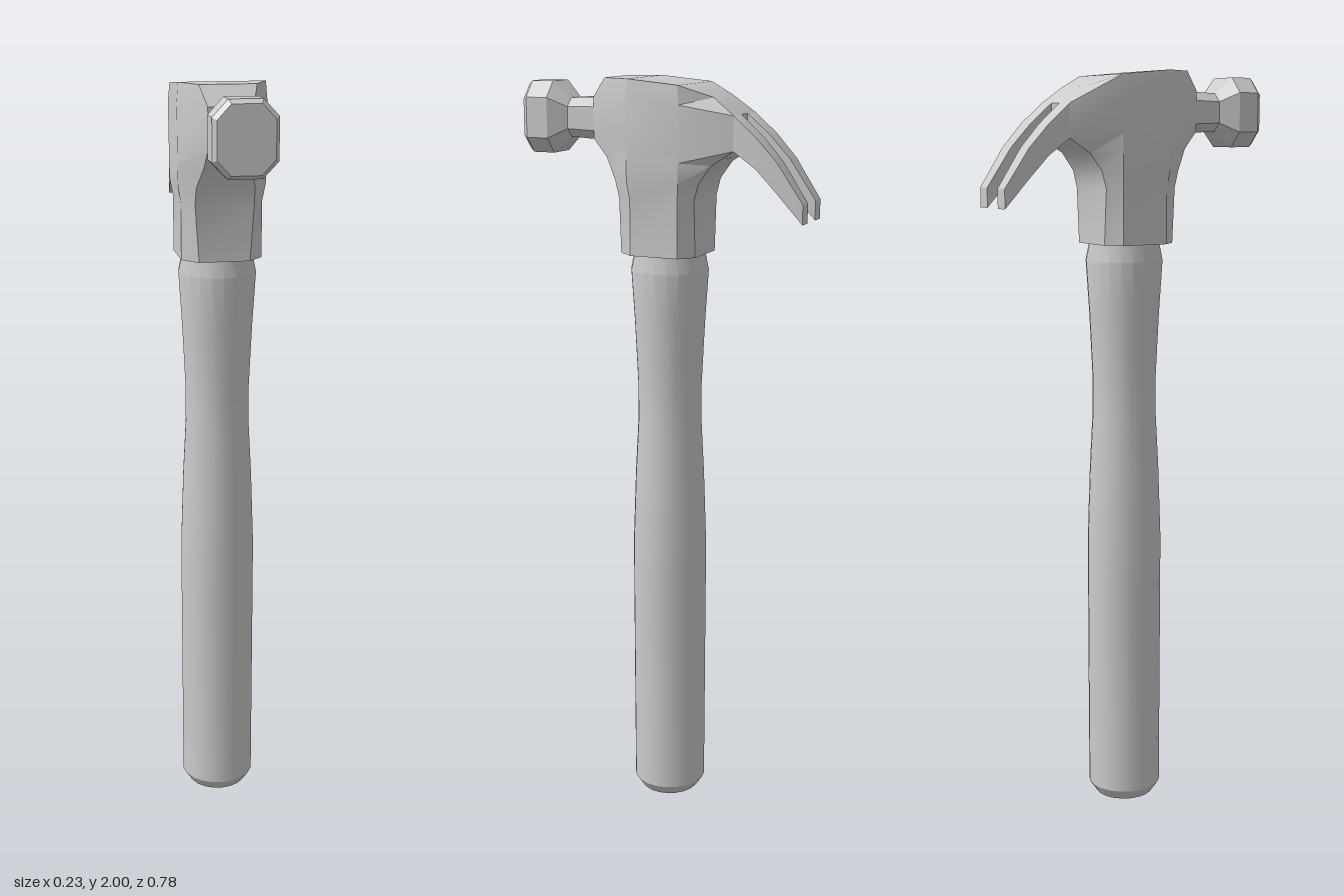
import * as THREE from 'three';
import { toCreasedNormals } from 'three/addons/utils/BufferGeometryUtils.js';

const steel = new THREE.MeshStandardMaterial({ color: 0xcccccc });

// Closed solid through equal-length, counter-clockwise rings of [x, y, z]
function loft(rings, crease) {
  const n = rings[0].length, last = (rings.length - 1) * n, index = [];
  const quad = (a, b, c, d) => index.push(a, b, c, a, c, d);
  for (let r = 0; r < last; r += n) {
    for (let i = 0; i < n; i++) {
      const j = (i + 1) % n;
      quad(r + i, r + j, r + n + j, r + n + i);
    }
  }
  // Caps are strips of quads between mirrored corners
  for (let i = 0; i < n / 2 - 1; i++) {
    quad(n - 1 - i, n - 2 - i, i + 1, i);
    quad(last + i, last + i + 1, last + n - 2 - i, last + n - 1 - i);
  }
  const g = new THREE.BufferGeometry();
  g.setAttribute('position', new THREE.Float32BufferAttribute(rings.flat(2), 3));
  g.setIndex(index);
  return toCreasedNormals(g, crease);
}

function part(name, geometry) {
  const m = new THREE.Mesh(geometry, steel);
  m.name = name;
  return m;
}

// Body ring: front height/depth/half width, back height/depth/half width, side half width
function bodyRing([yf, zf, fw, yb, zb, bw, w]) {
  const s = w * 0.63;
  const yBack = yf * 0.7 + yb * 0.3;
  const half = [[fw, yf, zf], [w, yf, s], [w, yBack, -s], [bw, yb, zb]];
  return [...half, ...half.map(([x, y, z]) => [-x, y, z]).reverse()];
}

// Octagon ring facing z, with half width, half height and corner cut ratio
function faceRing([z, w, h]) {
  const y = 1.895, a = w * 0.52, b = h * 0.56;
  return [[w, -b], [w, b], [a, h], [-a, h], [-w, b], [-w, -b], [-a, -h], [a, -h]]
    .map(([px, py]) => [px, y + py, z]);
}

export function createModel() {
  const group = new THREE.Group();
  group.name = 'hammer';

  // Waisted round handle with bevelled butt and collar
  const profile = [[0, 0], [0.08, 0], [0.1, 0.03], [0.101, 0.6], [0.101, 0.75], [0.094, 0.95],
    [0.086, 1.1], [0.086, 1.2], [0.094, 1.37], [0.103, 1.51], [0.094, 1.555], [0.094, 1.6], [0, 1.6]]
    .map(([r, y]) => new THREE.Vector2(r, y));
  group.add(part('handle', toCreasedNormals(new THREE.LatheGeometry(profile, 20), 0.4)));

  const head = new THREE.Group();
  head.name = 'head';
  group.add(head);

  // Eight-sided body that flares from the socket to the crown
  head.add(part('headBody', loft([
    [1.555, 0.11, 0.066, 1.555, -0.1, 0.066, 0.105],
    [1.7, 0.11, 0.076, 1.7, -0.1, 0.076, 0.105],
    [1.745, 0.122, 0.075, 1.745, -0.112, 0.075, 0.113],
    [1.8, 0.152, 0.06, 1.79, -0.145, 0.074, 0.114],
    [1.845, 0.19, 0.057, 1.828, -0.205, 0.076, 0.114],
    [1.95, 0.19, 0.057, 1.915, -0.205, 0.076, 0.115],
    [2.0, 0.15, 0.072, 1.957, -0.148, 0.065, 0.111],
  ].map(bodyRing), 0.45)));

  // Neck and bevelled striking face
  head.add(part('strikingFace', loft([
    [0.15, 0.06, 0.055], [0.19, 0.057, 0.054], [0.27, 0.05, 0.05],
    [0.315, 0.08, 0.092], [0.375, 0.08, 0.092], [0.388, 0.07, 0.082],
  ].map(faceRing), 0.2)));

  // Pair of curved claws, from tip to root: z, bottom, top, inner x, outer x
  const clawSections = [
    [-0.388, 1.655, 1.705, 0.029, 0.068],
    [-0.32, 1.73, 1.805, 0.026, 0.073],
    [-0.265, 1.787, 1.864, 0.023, 0.076],
    [-0.205, 1.828, 1.915, 0.021, 0.076],
    [-0.18, 1.83, 1.925, 0.021, 0.074],
  ];
  for (const side of [1, -1]) {
    const rings = clawSections.map(([z, low, high, inner, outer]) => {
      const [a, b] = side > 0 ? [inner, outer] : [-outer, -inner];
      return [[a, low, z], [b, low, z], [b, high, z], [a, high, z]];
    });
    head.add(part(side > 0 ? 'leftClaw' : 'rightClaw', loft(rings, 0.5)));
  }
  return group;
}
